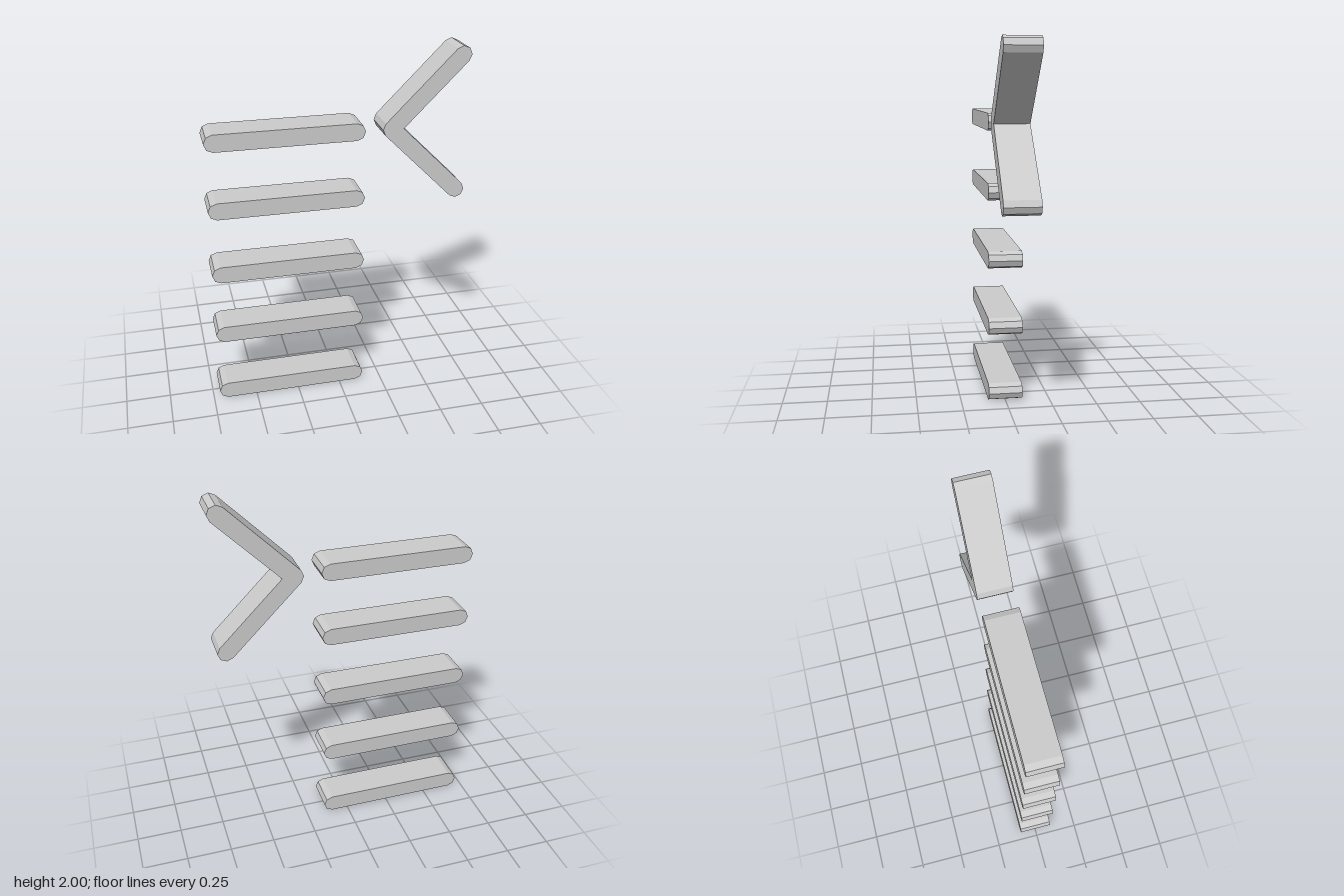
import * as THREE from 'three';

const R = 1 / 21; // bar half-thickness, the unit of the layout

// Points of a faceted arc (45 degree steps) around a centre, in units of R
function arc(cx, cy, fromDeg, toDeg) {
  const points = [];
  const steps = Math.round(Math.abs(toDeg - fromDeg) / 45);
  for (let i = 0; i <= steps; i++) {
    const a = THREE.MathUtils.degToRad(fromDeg + ((toDeg - fromDeg) * i) / steps);
    points.push(new THREE.Vector2((cx + Math.cos(a)) * R, (cy + Math.sin(a)) * R));
  }
  return points;
}

// Flat-sided slab from an outline, centred on z = 0
function slab(points) {
  const geometry = new THREE.ExtrudeGeometry(new THREE.Shape(points), {
    depth: 4 * R, bevelEnabled: false, curveSegments: 1,
  });
  geometry.translate(0, 0, -2 * R);
  return geometry;
}

export function createModel() {
  const group = new THREE.Group();
  const grey = new THREE.MeshStandardMaterial({ color: 0xcccccc, flatShading: true });
  grey.name = 'light grey';

  // Five stacked round-ended bars
  const barGeometry = slab([...arc(2, 0, -90, 90), ...arc(-14, 0, 90, 270)]);
  for (let i = 0; i < 5; i++) {
    const bar = new THREE.Mesh(barGeometry, grey);
    bar.name = `bar${i + 1}`;
    bar.position.y = (1 + 8 * i) * R;
    group.add(bar);
  }

  // Chevron pointing at the top bar: two round-ended arms meeting in one outline
  const innerCorner = new THREE.Vector2((6 + Math.SQRT2) * R, 0);
  const chevron = new THREE.Mesh(slab([
    innerCorner,
    ...arc(14, 8, -45, 135),
    ...arc(6, 0, 135, 225),
    ...arc(14, -8, 225, 405),
  ]), grey);
  chevron.name = 'chevron';
  chevron.position.y = 33 * R;
  group.add(chevron);

  return group;
}
